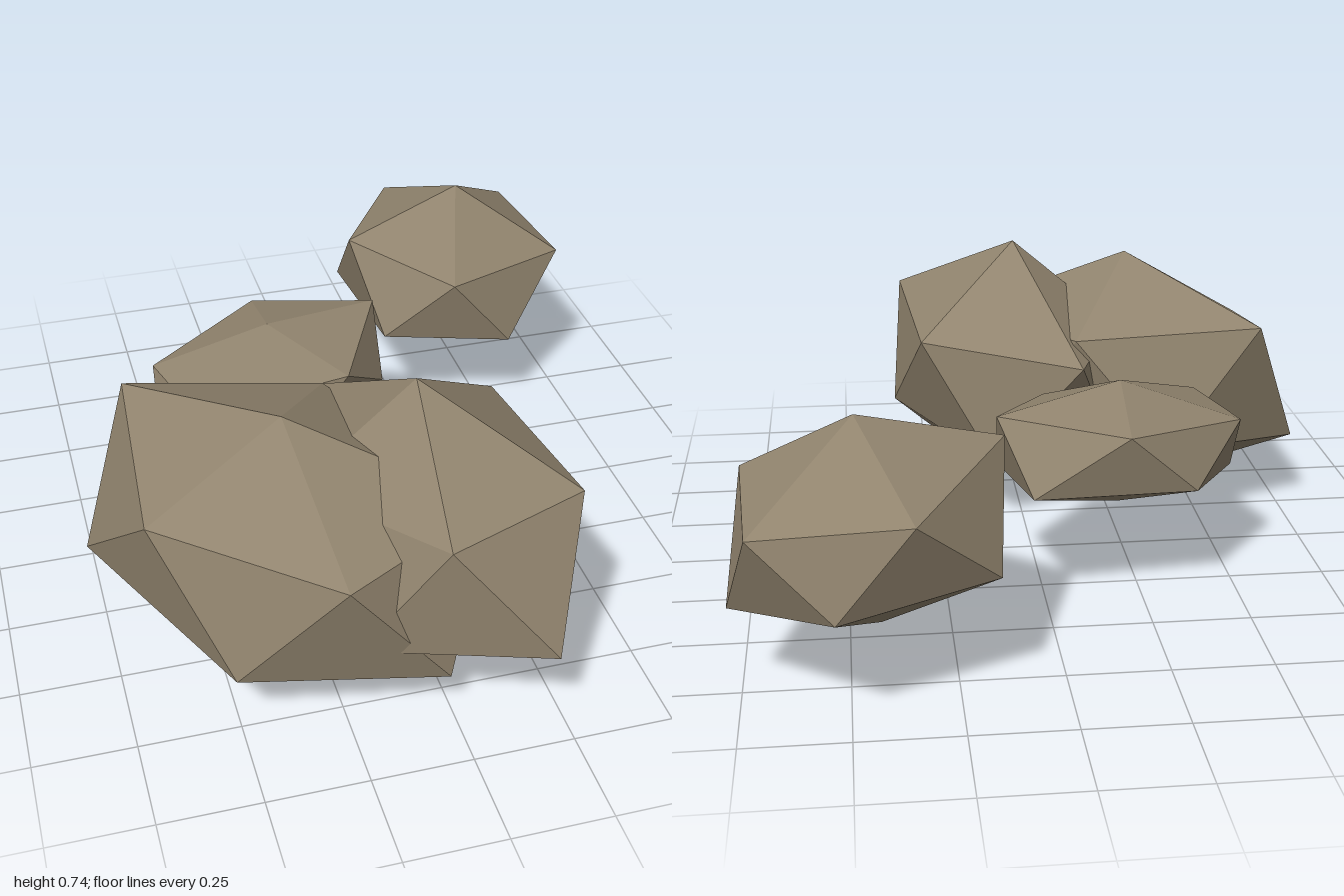
import * as THREE from 'three';

// Each rock: centre, peak and a ring of five shoulder corners (counterclockwise from above).
// The lower half repeats the upper corners mirrored through the centre.
const ROCKS = [
  { name: 'frontLeftBoulder', centre: [0.025, 0.373, 0.53], peak: [0, 0.745, 0.495],
    ring: [[0.28, 0.52, 0.25], [-0.15, 0.485, 0.065], [-0.3, 0.49, 0.5], [-0.04, 0.55, 0.91], [0.32, 0.56, 0.78]] },
  { name: 'frontRightBoulder', centre: [-0.325, 0.354, 0.463], peak: [-0.328, 0.703, 0.505],
    ring: [[0.13, 0.495, 0.69], [-0.14, 0.54, 0.15], [-0.64, 0.582, 0.08], [-0.67, 0.495, 0.57], [-0.265, 0.46, 0.88]] },
  { name: 'middleStone', centre: [-0.205, 0.372, -0.19], peak: [-0.21, 0.535, -0.18],
    ring: [[0.12, 0.49, -0.3], [-0.2, 0.465, -0.43], [-0.52, 0.43, -0.22], [-0.45, 0.43, 0.05], [-0.03, 0.445, -0.005]] },
  { name: 'backStone', centre: [0.45, 0.377, -0.657], peak: [0.475, 0.633, -0.65],
    ring: [[0.745, 0.46, -0.49], [0.715, 0.45, -0.92], [0.35, 0.487, -0.975], [0.125, 0.54, -0.57], [0.372, 0.48, -0.325]] },
];

// Twenty-sided rock with hard facets
function rockGeometry({ centre, peak, ring }) {
  const opposite = (p) => p.map((v, k) => 2 * centre[k] - v);
  const base = opposite(peak);
  const low = ring.map((_, i) => opposite(ring[(i + 3) % 5]));
  const corners = [];
  for (let i = 0; i < 5; i++) {
    const j = (i + 1) % 5;
    corners.push(peak, ring[i], ring[j]);
    corners.push(ring[i], low[i], ring[j]);
    corners.push(low[i], low[j], ring[j]);
    corners.push(base, low[j], low[i]);
  }
  const geometry = new THREE.BufferGeometry();
  geometry.setAttribute('position', new THREE.Float32BufferAttribute(corners.flat(), 3));
  geometry.computeVertexNormals();
  return geometry;
}

export function createModel() {
  const group = new THREE.Group();
  group.name = 'rockCluster';
  const stone = new THREE.MeshStandardMaterial({ color: 0x91846e });
  stone.name = 'stone';
  stone.flatShading = true;
  for (const rock of ROCKS) {
    const mesh = new THREE.Mesh(rockGeometry(rock), stone);
    mesh.name = rock.name;
    group.add(mesh);
  }
  return group;
}
